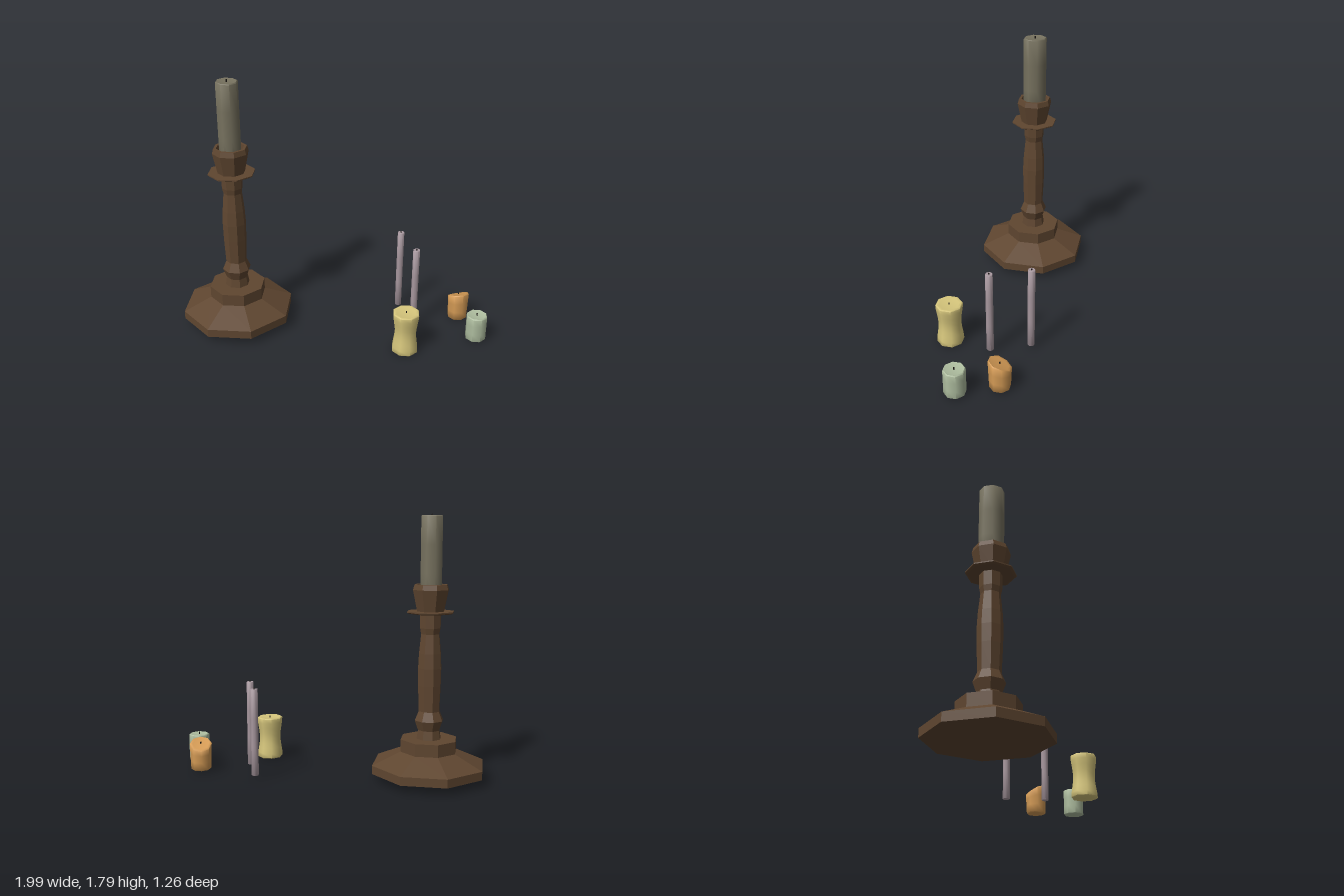
import * as THREE from 'three';
import { toCreasedNormals } from 'three/addons/utils/BufferGeometryUtils.js';

const SIDES = 8;
const wood = new THREE.MeshStandardMaterial({ color: 0x5f4630, flatShading: true });
const wickMaterial = new THREE.MeshStandardMaterial({ color: 0x1c1814 });

const lathe = (profile) =>
  new THREE.LatheGeometry(profile.map(([r, y]) => new THREE.Vector2(r, y)), SIDES);

// A smooth candle with a softened rim, a slightly dished top and a wick.
// waist narrows the middle; topShape(x, z) may lower the upper part.
function makeCandle({ name, color, x, y, z, r, h, rTop = r, waist = 0, stretch = 1, wick = 0.012, topShape }) {
  const group = new THREE.Group();
  group.name = name;
  const bevel = Math.min(r * 0.08, 0.006);
  const profile = [[0, 0], [r - bevel, 0], [r, bevel]];
  const steps = waist ? 8 : 3;
  for (let i = 1; i < steps; i++) {
    const t = i / steps;
    profile.push([r + (rTop - r) * t - waist * Math.sin(Math.PI * t) ** 2, h * t]);
  }
  profile.push([rTop, h - bevel], [rTop - bevel, h], [rTop * 0.75, h - bevel * 0.6], [0, h - bevel]);

  const geometry = lathe(profile);
  const position = geometry.attributes.position;
  if (topShape) {
    for (let i = 0; i < position.count; i++) {
      const k = position.getY(i) / h;
      position.setY(i, k * (h + topShape(position.getX(i), position.getZ(i)) * k));
    }
  }
  geometry.scale(stretch, 1, 1);
  const body = new THREE.Mesh(
    toCreasedNormals(geometry, 1.0),
    new THREE.MeshStandardMaterial({ color })
  );
  body.name = name + 'Wax';

  const wickHeight = wick + 0.02;
  const wickMesh = new THREE.Mesh(new THREE.CylinderGeometry(0.004, 0.005, wickHeight, 5), wickMaterial);
  wickMesh.name = name + 'Wick';
  wickMesh.position.y = h + (topShape ? topShape(0, 0) : 0) + wick - wickHeight / 2;

  group.add(body, wickMesh);
  group.position.set(x, y, z);
  return group;
}

function makeCandlestick() {
  const group = new THREE.Group();
  group.name = 'candlestick';
  const parts = {
    // Wide sloping foot with a raised step
    foot: [[0, 0.055], [0.396, 0.055], [0.396, 0.113], [0.198, 0.2], [0.198, 0.285], [0, 0.285]],
    // Turned stem
    stem: [
      [0.086, 0.285], [0.076, 0.345], [0.1, 0.412], [0.073, 0.475], [0.08, 0.65],
      [0.082, 0.77], [0.077, 0.87], [0.064, 1.0], [0.072, 1.04], [0.074, 1.14],
    ],
    // Thin drip tray
    dripTray: [[0, 1.137], [0.15, 1.137], [0.163, 1.144], [0.163, 1.152], [0, 1.152]],
    // Hollow cup that holds the candle
    cup: [[0.094, 1.15], [0.125, 1.295], [0.115, 1.33], [0.096, 1.33], [0.084, 1.22], [0, 1.22]],
  };
  for (const [name, profile] of Object.entries(parts)) {
    const mesh = new THREE.Mesh(lathe(profile), wood);
    mesh.name = name;
    group.add(mesh);
  }
  group.position.set(-0.604, 0, -0.236);
  return group;
}

export function createModel() {
  const model = new THREE.Group();
  model.name = 'candlestickAndCandles';
  model.add(makeCandlestick());

  model.add(makeCandle({
    name: 'heldCandle', color: 0x77725f, x: -0.604, y: 1.215, z: -0.237,
    r: 0.083, h: 0.567, stretch: 0.9,
  }));
  model.add(makeCandle({
    name: 'waistedCandle', color: 0xd6c67c, x: 0.388, y: 0.003, z: 0.53,
    r: 0.093, h: 0.303, waist: 0.016, wick: 0.006,
  }));
  // Two slim tapers
  for (const [name, z] of [['backTaper', 0.005], ['frontTaper', 0.282]]) {
    model.add(makeCandle({
      name, color: 0xa8989f, x: 0.556, y: 0.022, z, r: 0.025, h: 0.602, wick: 0.008,
    }));
  }
  // Unevenly melted candle, high at the front
  model.add(makeCandle({
    name: 'meltedCandle', color: 0xd69c56, x: 0.912, y: 0.01, z: 0.272,
    r: 0.07, rTop: 0.077, h: 0.19, wick: 0.006,
    topShape: (x, z) => (z > 0 ? z * 0.35 : z * 0.58),
  }));
  model.add(makeCandle({
    name: 'shortCandle', color: 0xaebd9f, x: 0.913, y: 0.01, z: 0.558,
    r: 0.073, h: 0.186,
  }));
  return model;
}
